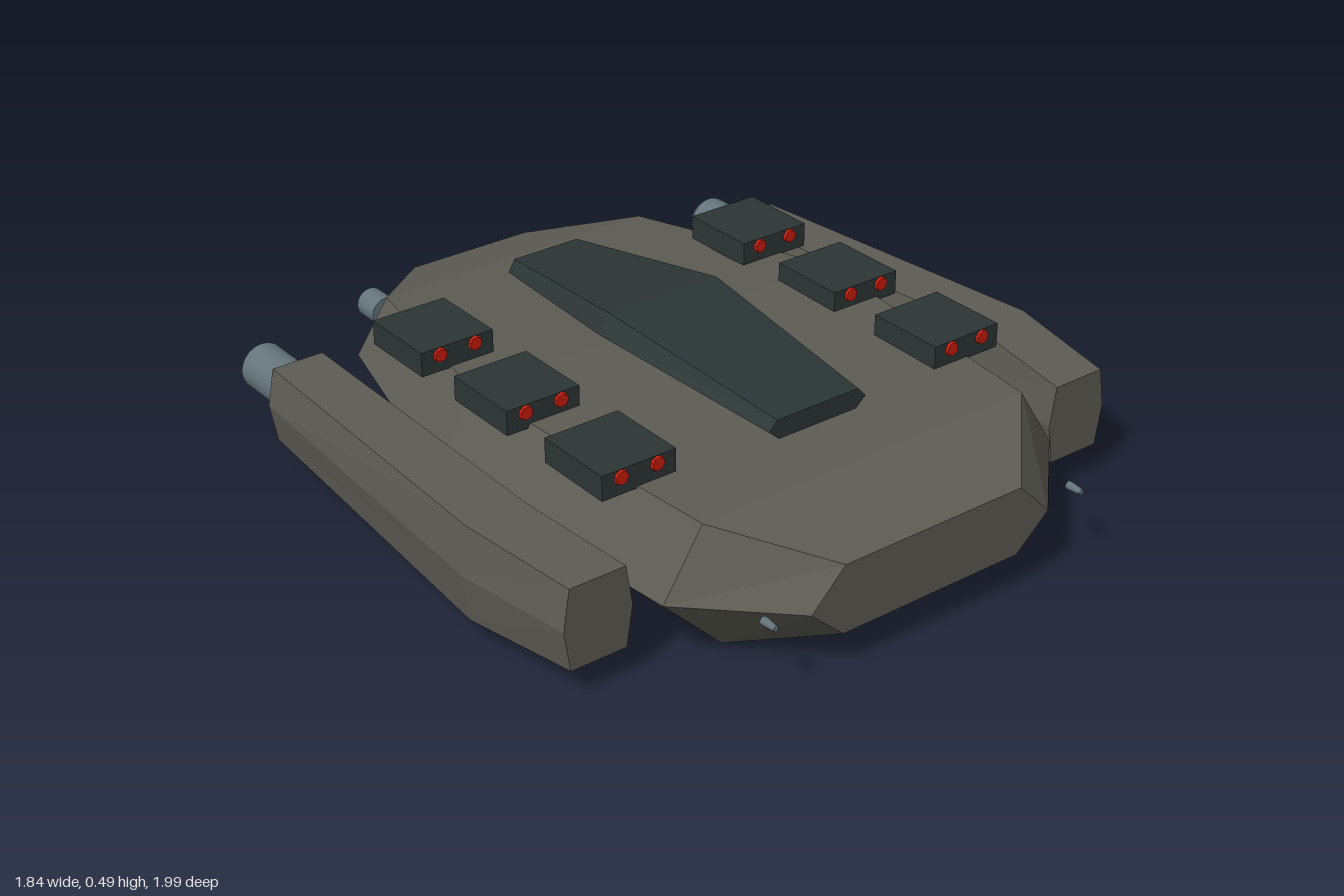
import * as THREE from 'three';

const mat = (name, color) => {
  const m = new THREE.MeshStandardMaterial({ color, flatShading: name !== 'engineGrey' });
  m.name = name;
  return m;
};

// Lofts six-sided sections, listed front to back:
// [z, centreX, halfMid, halfTop, halfBottom, yBottom, yMid, yTop]
function hexLoft(sections) {
  const rings = sections.map(([z, cx, m, t, b, yb, ym, yt]) => [
    [cx + m, ym, z], [cx + t, yt, z], [cx - t, yt, z],
    [cx - m, ym, z], [cx - b, yb, z], [cx + b, yb, z],
  ]);
  const pos = [];
  const tri = (...pts) => pts.forEach((p) => pos.push(...p));
  for (let s = 0; s < rings.length - 1; s++) {
    const f = rings[s], r = rings[s + 1];
    for (let i = 0; i < 6; i++) {
      const j = (i + 1) % 6;
      tri(f[i], r[i], r[j]);
      tri(f[i], r[j], f[j]);
    }
  }
  const first = rings[0], last = rings[rings.length - 1];
  for (let i = 1; i < 5; i++) {
    tri(first[0], first[i], first[i + 1]);
    tri(last[0], last[i + 1], last[i]);
  }
  const g = new THREE.BufferGeometry();
  g.setAttribute('position', new THREE.Float32BufferAttribute(pos, 3));
  g.computeVertexNormals();
  return g;
}

export function createModel() {
  const hullMat = mat('hullGrey', 0x5d5c54);
  const darkMat = mat('darkPanel', 0x2c3635);
  const engineMat = mat('engineGrey', 0x65747b);
  const redMat = mat('glowRed', 0xcc1c0c);
  const model = new THREE.Group();

  const add = (parent, name, geo, material, x = 0, y = 0, z = 0) => {
    const mesh = new THREE.Mesh(geo, material);
    mesh.name = name;
    mesh.position.set(x, y, z);
    parent.add(mesh);
    return mesh;
  };

  // Main hull
  add(model, 'hull', hexLoft([
    [0.99, 0, 0.38, 0.28, 0.28, 0.11, 0.2, 0.3],
    [0.75, 0, 0.625, 0.51, 0.45, 0.025, 0.2, 0.38],
    [-0.08, 0, 0.705, 0.585, 0.5, 0.005, 0.2, 0.395],
    [-0.74, 0, 0.53, 0.43, 0.38, 0.062, 0.2, 0.345],
    [-0.98, 0, 0.24, 0.19, 0.18, 0.13, 0.2, 0.272],
  ]), hullMat);

  // Raised canopy along the spine
  add(model, 'canopy', hexLoft([
    [0.56, 0, 0.155, 0.13, 0.12, 0.38, 0.41, 0.437],
    [-0.06, 0, 0.21, 0.175, 0.14, 0.385, 0.44, 0.49],
    [-0.595, 0, 0.125, 0.105, 0.09, 0.352, 0.385, 0.42],
  ]), darkMat);

  // Engine nozzle: tube with a bevelled rear rim and a glowing disc
  const nozzle = (name, x, y, zFront, zBack, r) => {
    const g = new THREE.Group();
    g.name = name;
    g.position.set(x, y, 0);
    const bevel = r * 0.25;
    const tube = new THREE.CylinderGeometry(r, r, zFront - zBack - bevel, 20).rotateX(-Math.PI / 2);
    add(g, 'nozzleTube', tube, engineMat, 0, 0, (zFront + zBack + bevel) / 2);
    // after the turn the cylinder's top points to the rear
    const rim = new THREE.CylinderGeometry(r * 0.82, r, bevel, 20).rotateX(-Math.PI / 2);
    add(g, 'nozzleRim', rim, engineMat, 0, 0, zBack + bevel / 2);
    const disc = new THREE.CircleGeometry(r * 0.78, 20).rotateY(Math.PI);
    add(g, 'nozzleGlow', disc, redMat, 0, 0, zBack - 0.002);
    model.add(g);
  };

  for (const [side, s] of [['left', 1], ['right', -1]]) {
    // Side nacelle
    add(model, side + 'Nacelle', hexLoft([
      [0.7, s * 0.772, 0.098, 0.08, 0.08, 0.088, 0.2, 0.312],
      [0.36, s * 0.818, 0.102, 0.085, 0.085, 0.07, 0.2, 0.332],
      [-0.64, s * 0.77, 0.095, 0.075, 0.075, 0.09, 0.2, 0.303],
    ]), hullMat);

    nozzle(side + 'NacelleEngine', s * 0.768, 0.205, -0.6, -0.853, 0.067);
    nozzle(side + 'RearEngine', s * 0.337, 0.205, -0.905, -0.998, 0.043);

    // Small bow gun
    const gun = new THREE.CylinderGeometry(0.008, 0.012, 0.045, 8).rotateX(Math.PI / 2);
    add(model, side + 'Gun', gun, engineMat, s * 0.49, 0.212, 0.972);

    // Launcher boxes with two red tips each
    for (const z of [0.415, 0.025, -0.355]) {
      const pod = new THREE.Group();
      pod.name = side + 'Launcher';
      pod.position.set(s * 0.525, 0.413, z);
      add(pod, 'launcherBox', new THREE.BoxGeometry(0.218, 0.068, 0.23), darkMat);
      for (const dx of [-0.053, 0.053]) {
        const tip = new THREE.CylinderGeometry(0.018, 0.021, 0.008, 10).rotateX(Math.PI / 2);
        add(pod, 'launcherTip', tip, redMat, dx, 0.013, 0.118);
      }
      model.add(pod);
    }
  }
  return model;
}
